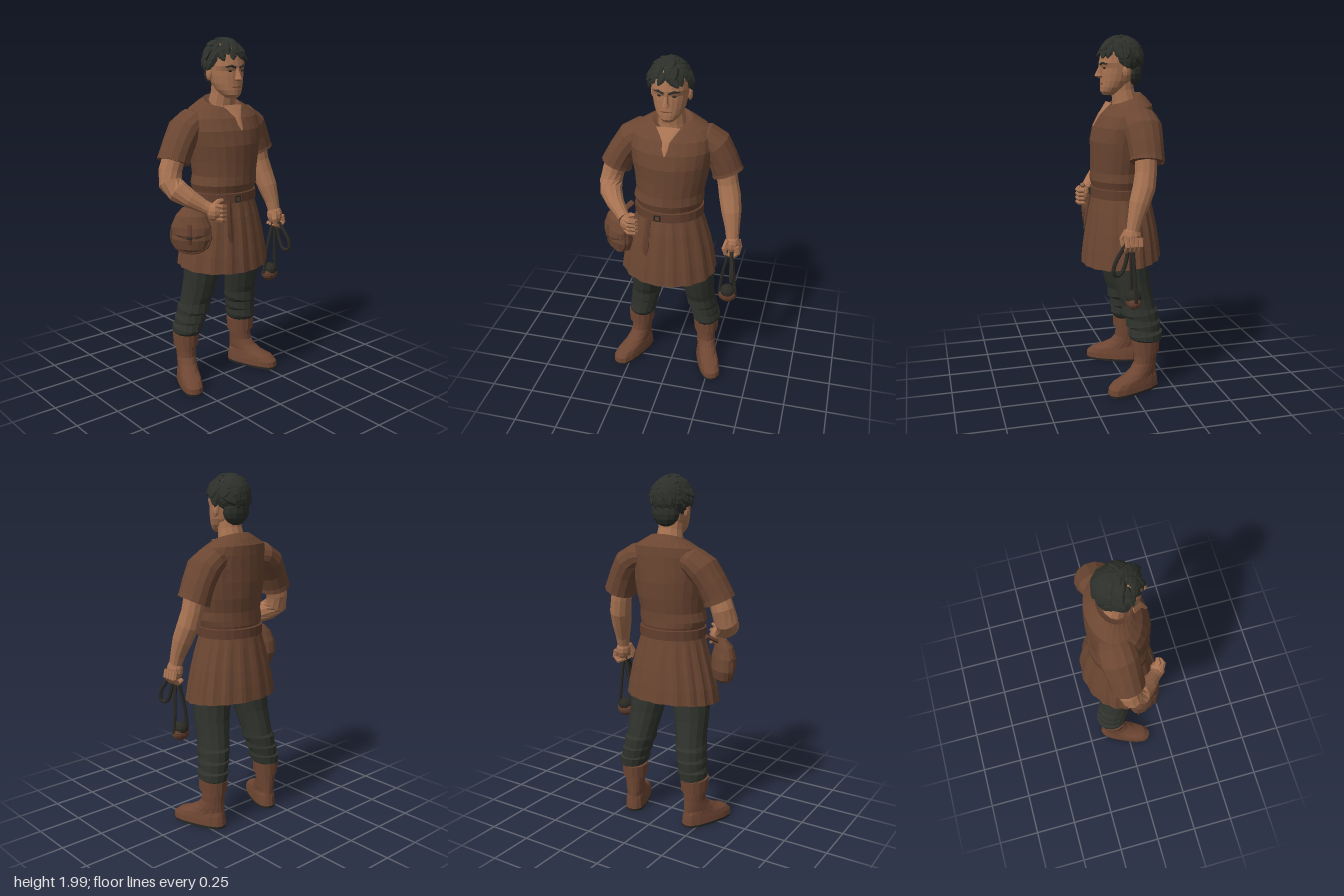
import * as THREE from 'three';
import { mergeGeometries } from 'three/addons/utils/BufferGeometryUtils.js';

const mat = (name, color) => Object.assign(new THREE.MeshStandardMaterial({ color }), { name });
const V = (x, y, z) => new THREE.Vector3(x, y, z);

// Gives every face its own normal
function faceted(g) {
  const f = g.index ? g.toNonIndexed() : g;
  f.computeVertexNormals();
  return f;
}

// Skin over rings [x, y, z, ru, rv, tilt]. Rings lie flat, or square to the path when follow is set.
// shape(angle, ring) scales the radius, for pleats and boxy outlines.
function loft(rings, { n = 14, follow = false, shape = () => 1 } = {}) {
  const pos = [], idx = [], m = rings.length;
  const at = i => V(...rings[Math.max(0, Math.min(m - 1, i))].slice(0, 3));
  rings.forEach(([x, y, z, ru, rv = ru, tilt = 0], i) => {
    const t = follow ? at(i + 1).sub(at(i - 1)).normalize() : V(0, 1, 0);
    const u = V(1, 0, 0).addScaledVector(t, -t.x).normalize();
    const v = u.clone().cross(t);
    for (let j = 0; j < n; j++) {
      const a = j / n * Math.PI * 2, k = shape(a, i);
      const p = V(x, y + tilt * Math.cos(a), z)
        .addScaledVector(u, Math.cos(a) * ru * k).addScaledVector(v, Math.sin(a) * rv * k);
      pos.push(p.x, p.y, p.z);
    }
  });
  pos.push(...at(0).toArray(), ...at(m - 1).toArray());
  for (let j = 0; j < n; j++) {
    const k = (j + 1) % n, e = (m - 1) * n;
    for (let i = 0; i < m - 1; i++) {
      const a = i * n + j, b = i * n + k;
      idx.push(a, a + n, b, b, a + n, b + n);
    }
    idx.push(m * n, j, k, m * n + 1, e + k, e + j);
  }
  const g = new THREE.BufferGeometry();
  g.setAttribute('position', new THREE.Float32BufferAttribute(pos, 3));
  g.setIndex(idx);
  return faceted(g);
}
const limb = (rings, n = 9) => loft(rings, { n, follow: true });
const boxy = a => 1 / Math.pow(Math.cos(a) ** 4 + Math.sin(a) ** 4, 0.16);
const ball = (x, y, z, rx, ry, rz, n = 12) =>
  faceted(new THREE.SphereGeometry(1, n, Math.ceil(n * 0.7)).scale(rx, ry, rz).translate(x, y, z));
const cord = (points, r, closed = false) =>
  faceted(new THREE.TubeGeometry(new THREE.CatmullRomCurve3(points.map(p => V(...p)), closed), 20, r, 6, closed));

export function createModel() {
  const root = new THREE.Group();
  const M = {
    tunic: mat('tunic brown', 0x6b4632), skin: mat('skin', 0xa87352), hair: mat('black hair', 0x2d302a),
    trousers: mat('dark trousers', 0x30332d), boots: mat('boot leather', 0x6e4633),
    belt: mat('belt leather', 0x613e2d), dark: mat('dark cord and sole', 0x2a2924), lips: mat('lips', 0x7d4b38),
  };
  const add = (name, material, geometry, parent = root) => {
    const mesh = new THREE.Mesh(geometry, material);
    mesh.name = name;
    parent.add(mesh);
    return mesh;
  };

  // Tunic body, bloused over the belt
  add('tunicBody', M.tunic, loft([
    [0.005, 1.13, 0.01, 0.15, 0.178], [0.005, 1.17, 0.01, 0.162, 0.19], [0.01, 1.2, 0.01, 0.166, 0.2],
    [0.008, 1.25, 0.005, 0.164, 0.192], [0.002, 1.33, 0, 0.17, 0.205], [0, 1.42, 0, 0.174, 0.22],
    [-0.008, 1.5, 0, 0.165, 0.232], [-0.025, 1.565, 0, 0.147, 0.225], [-0.042, 1.608, 0, 0.127, 0.195, -0.01],
    [-0.034, 1.635, 0, 0.106, 0.145, -0.02], [-0.022, 1.65, 0, 0.088, 0.11, -0.032], [-0.02, 1.638, 0, 0.07, 0.085, -0.032],
  ], { n: 24 }));

  // Pleated skirt, hem lower at the front
  add('tunicSkirt', M.tunic, loft([
    [0, 0.745, 0.012, 0.19, 0.24, -0.02], [0, 0.73, 0.012, 0.224, 0.278, -0.02], [0, 0.82, 0.012, 0.214, 0.263, -0.015],
    [0, 0.92, 0.01, 0.199, 0.24, -0.01], [0, 1.02, 0.01, 0.181, 0.212], [0, 1.1, 0.01, 0.163, 0.188], [0, 1.14, 0.01, 0.15, 0.178],
  ], { n: 68, shape: (a, i) => 1 + [0.018, 0.02, 0.022, 0.022, 0.02, 0.012, 0][i] * Math.sin(17 * a + Math.sin(3 * a)) }));

  // Belt, buckle and hanging end
  add('belt', M.belt, loft([[0.003, 1.1, 0.01, 0.155, 0.18], [0.003, 1.103, 0.01, 0.171, 0.198],
    [0.003, 1.155, 0.01, 0.17, 0.197], [0.003, 1.16, 0.01, 0.155, 0.18]], { n: 24 }));
  add('buckle', M.dark, faceted(new THREE.TorusGeometry(0.022, 0.006, 5, 4, Math.PI * 2).rotateZ(Math.PI / 4)
    .rotateY(Math.PI / 2).translate(0.172, 1.125, 0.04)));
  add('beltEnd', M.belt, limb([[0.155, 1.12, 0.09, 0.007, 0.018], [0.172, 1.03, 0.1, 0.007, 0.018],
    [0.187, 0.94, 0.105, 0.007, 0.022], [0.192, 0.89, 0.105, 0.006, 0.01]], 6));

  // Open neckline running into a slit, laid along the chest
  add('necklineSlit', M.skin, limb([[0.16, 1.5, 0, 0.003, 0.005], [0.145, 1.53, 0.002, 0.003, 0.016], [0.125, 1.566, 0, 0.003, 0.02],
    [0.092, 1.606, 0, 0.004, 0.048], [0.072, 1.63, 0, 0.004, 0.068]], 8));

  // Neck and head
  add('neck', M.skin, limb([[-0.03, 1.56, 0, 0.08, 0.09], [-0.02, 1.64, 0, 0.07, 0.078], [-0.008, 1.7, 0, 0.064, 0.07], [0, 1.77, 0, 0.065, 0.07]], 12));
  add('head', M.skin, loft([
    [0.07, 1.672, 0, 0.035, 0.032], [0.057, 1.69, 0, 0.06, 0.054], [0.04, 1.715, 0, 0.078, 0.072],
    [0.026, 1.75, 0, 0.09, 0.086], [0.019, 1.79, 0, 0.096, 0.094], [0.013, 1.818, 0, 0.1, 0.098],
    [0.018, 1.845, 0, 0.106, 0.1], [0.005, 1.9, 0, 0.108, 0.1], [0, 1.96, 0, 0.07, 0.07],
  ], { n: 20 }));
  add('nose', M.skin, loft([[0.114, 1.764, 0, 0.016, 0.014], [0.122, 1.774, 0, 0.029, 0.02],
    [0.12, 1.79, 0, 0.024, 0.014], [0.113, 1.82, 0, 0.015, 0.01], [0.11, 1.845, 0, 0.014, 0.012]], { n: 8 }));
  add('mouth', M.lips, ball(0.112, 1.733, 0, 0.007, 0.005, 0.032, 8));
  for (const s of [1, -1]) {
    add('eye', M.dark, ball(0.103, 1.818, s * 0.038, 0.007, 0.006, 0.015, 8));
    add('eyebrow', M.hair, limb([[0.121, 1.836, s * 0.014, 0.006], [0.115, 1.846, s * 0.04, 0.007], [0.094, 1.84, s * 0.066, 0.004]], 5));
    add('ear', M.skin, ball(-0.005, 1.8, s * 0.1, 0.022, 0.036, 0.014, 8));
  }

  // Hair: a cap under rows of tousled, pointed locks
  add('hairCap', M.hair, ball(-0.022, 1.875, 0.003, 0.105, 0.112, 0.108, 16));
  add('hairNape', M.hair, ball(-0.058, 1.8, 0, 0.058, 0.085, 0.084));
  let seed = 7;
  const rnd = () => (seed = (seed * 16807) % 2147483647) / 2147483647 - 0.5;
  const locks = [];
  [85, 62, 40, 20, 0, -20, -38].forEach((deg, row) => {
    const count = Math.max(4, Math.round(14 * Math.cos(deg * Math.PI / 180)));
    for (let j = 0; j < count; j++) {
      const a = (j + row * 0.5 + rnd() * 0.6) / count * Math.PI * 2, front = Math.cos(a);
      if (deg < (front > 0.45 ? 20 : front > -0.1 ? 0 : -60)) continue;
      const e = deg * Math.PI / 180, ce = Math.cos(e), se = Math.sin(e), size = 1 + rnd() * 0.4;
      const out = V(ce * front, se, ce * Math.sin(a));
      const down = V(se * front, -ce, se * Math.sin(a)).applyAxisAngle(out, 0.3 + rnd() * 1.3);
      // lock tips lift away from the head
      const lift = down.clone().cross(out), tip = deg < 0 ? 0 : 0.2 + rnd() * 0.4;
      const normal = out.clone().applyAxisAngle(lift, tip);
      down.applyAxisAngle(lift, tip);
      const g = new THREE.SphereGeometry(1, 6, 5), p = g.attributes.position;
      for (let i = 0; i < p.count; i++) {
        const taper = size * (1 - 0.5 * Math.max(0, p.getY(i)));
        p.setXYZ(i, p.getX(i) * taper * 0.03, p.getY(i) * size * 0.05, p.getZ(i) * taper * 0.02);
      }
      const basis = new THREE.Matrix4().makeBasis(lift, down, normal);
      basis.setPosition(out.x * 0.115 + 0.002, 1.87 + out.y * 0.106, out.z * 0.1 + 0.004);
      locks.push(faceted(g.applyMatrix4(basis)));
    }
  });
  add('hairLocks', M.hair, mergeGeometries(locks));

  // Sleeves, legs and boots on both sides; the right arm is held further out and forward
  for (const s of [1, -1]) {
    const right = s > 0, side = right ? 'right' : 'left', out = right ? 0.02 : 0, fwd = right ? 0.025 : -0.005;
    add(side + 'Sleeve', M.tunic, limb([
      [-0.055, 1.555, s * 0.1, 0.07, 0.055], [-0.058, 1.54, s * 0.18, 0.1, 0.078], [-0.06 + fwd * 0.3, 1.5, s * 0.235, 0.105, 0.088],
      [-0.06 + fwd * 0.7, 1.43, s * (0.272 + out / 2), 0.098, 0.084], [-0.06 + fwd, 1.36, s * (0.298 + out), 0.094, 0.086],
      [-0.058 + fwd, 1.335, s * (0.307 + out), 0.096, 0.09], [-0.058 + fwd, 1.345, s * (0.304 + out), 0.08, 0.07],
    ], 14));
    add(side + 'TrouserLeg', M.trousers, loft([
      [-0.09, 0.285, s * 0.206, 0.07, 0.06], [-0.09, 0.305, s * 0.206, 0.094, 0.08, 0.01], [-0.09, 0.335, s * 0.202, 0.1, 0.085, -0.01],
      [-0.085, 0.36, s * 0.196, 0.092, 0.079, 0.012], [-0.08, 0.39, s * 0.19, 0.1, 0.086, -0.012], [-0.075, 0.42, s * 0.184, 0.096, 0.082, 0.01],
      [-0.065, 0.455, s * 0.176, 0.103, 0.09, -0.012], [-0.058, 0.49, s * 0.17, 0.098, 0.087, 0.012], [-0.045, 0.54, s * 0.163, 0.1, 0.09],
      [-0.025, 0.63, s * 0.153, 0.103, 0.1], [-0.012, 0.72, s * 0.142, 0.108, 0.113], [-0.005, 0.82, s * 0.13, 0.115, 0.118],
    ]));
    const boot = new THREE.Group();
    boot.name = side + 'Boot';
    boot.position.set(-0.092, 0, s * (right ? 0.215 : 0.202));
    boot.rotation.y = right ? -0.42 : 0.37;
    root.add(boot);
    add('sole', M.dark, loft([[0.088, 0, 0, 0.163, 0.063], [0.088, 0.014, 0, 0.166, 0.065]], { n: 18, shape: boxy }), boot);
    add('foot', M.boots, loft([
      [0.088, 0.012, 0, 0.165, 0.064], [0.088, 0.045, 0, 0.162, 0.062], [0.074, 0.072, 0, 0.144, 0.058], [0.044, 0.095, 0, 0.112, 0.056],
      [0.017, 0.125, 0, 0.084, 0.056], [0.003, 0.16, 0, 0.069, 0.056], [0, 0.2, 0, 0.067, 0.06], [0, 0.24, 0, 0.068, 0.062],
    ], { n: 18, shape: (a, i) => i < 3 ? boxy(a) : 1 }), boot);
    add('cuff', M.boots, loft([[0, 0.225, 0, 0.066, 0.06], [0.001, 0.222, 0, 0.082, 0.073, 0.006],
      [0, 0.295, 0, 0.085, 0.077, 0.006], [0, 0.295, 0, 0.07, 0.06]], { n: 14 }), boot);
  }

  // Right arm bent, fist resting at the belt
  add('rightForearm', M.skin, limb([
    [-0.035, 1.38, 0.315, 0.062], [-0.034, 1.29, 0.348, 0.064], [-0.018, 1.225, 0.36, 0.066], [0.033, 1.185, 0.345, 0.063],
    [0.09, 1.145, 0.302, 0.05], [0.14, 1.108, 0.252, 0.037], [0.16, 1.095, 0.232, 0.036],
  ], 12));
  add('rightHand', M.skin, ball(0.178, 1.078, 0.205, 0.042, 0.052, 0.047, 10));
  for (let i = 0; i < 4; i++) {
    const y = 1.115 - i * 0.024;
    add('rightFinger', M.skin, limb([[0.195, y, 0.215, 0.015], [0.214, y - 0.006, 0.19, 0.015], [0.205, y - 0.012, 0.163, 0.014], [0.18, y - 0.012, 0.155, 0.01]], 6));
  }
  add('rightThumb', M.skin, limb([[0.17, 1.11, 0.21, 0.016], [0.185, 1.135, 0.185, 0.015], [0.19, 1.14, 0.16, 0.009]], 6));

  // Left arm hanging, fist around the sling
  add('leftForearm', M.skin, limb([
    [-0.06, 1.38, -0.29, 0.062], [-0.055, 1.28, -0.31, 0.06], [-0.04, 1.2, -0.327, 0.063], [-0.01, 1.12, -0.343, 0.057],
    [0.018, 1.03, -0.357, 0.042], [0.03, 0.98, -0.362, 0.037],
  ], 12));
  add('leftHand', M.skin, ball(0.035, 0.945, -0.365, 0.05, 0.06, 0.043, 10));
  for (let i = 0; i < 4; i++) {
    const x = 0.07 - i * 0.024;
    add('leftFinger', M.skin, limb([[x, 0.945, -0.392, 0.016], [x, 0.905, -0.402, 0.016], [x, 0.876, -0.375, 0.015], [x, 0.892, -0.345, 0.012]], 6));
  }
  add('leftThumb', M.skin, limb([[0.06, 0.975, -0.34, 0.017], [0.08, 0.93, -0.325, 0.016], [0.08, 0.89, -0.335, 0.01]], 6));

  // Sling: two cords, a pouch with its stone, and a spare loop
  for (const s of [1, -1]) {
    add('slingCord', M.dark, cord([[0.035, 0.92, -0.36], [0.03, 0.82, -0.352 + s * 0.02], [0.024, 0.7, -0.345 + s * 0.036], [0.02, 0.58, -0.345 + s * 0.048]], 0.01));
  }
  add('slingPouch', M.belt, ball(0.02, 0.575, -0.345, 0.042, 0.043, 0.054));
  add('slingStone', M.dark, ball(0.02, 0.602, -0.345, 0.046, 0.04, 0.044, 10));
  add('slingLoop', M.dark, cord([[0.06, 0.91, -0.365], [0.105, 0.86, -0.375], [0.143, 0.79, -0.388], [0.14, 0.745, -0.385],
    [0.105, 0.745, -0.375], [0.075, 0.8, -0.37]], 0.011, true));

  // Belt bag, turned outward
  const bag = new THREE.Group();
  bag.name = 'beltBag';
  bag.position.set(0.08, 0.965, 0.293);
  bag.rotation.y = Math.PI / 4;
  root.add(bag);
  add('bagBody', M.tunic, loft([[0, -0.118, 0, 0.05, 0.03], [0, -0.095, 0, 0.095, 0.055], [0, -0.04, 0, 0.116, 0.066],
    [0, 0.03, 0, 0.108, 0.058], [0, 0.085, 0, 0.08, 0.045], [0, 0.125, -0.01, 0.05, 0.025]], { n: 16 }), bag);
  add('bagFlap', M.tunic, loft([[0, -0.03, 0.012, 0.07, 0.058], [0, -0.01, 0.01, 0.106, 0.064], [0, 0.03, 0.008, 0.111, 0.062],
    [0, 0.09, 0.004, 0.085, 0.049], [0, 0.13, -0.008, 0.05, 0.025]], { n: 16 }), bag);
  add('bagSeam', M.belt, cord([[-0.1, 0.04, 0.02], [-0.108, -0.04, 0.02], [-0.07, -0.1, 0.025], [0, -0.118, 0.028],
    [0.07, -0.1, 0.025], [0.108, -0.04, 0.02], [0.1, 0.04, 0.02]], 0.008), bag);
  add('bagStrap', M.belt, limb([[0, 0.05, 0.066, 0.014, 0.005], [0, -0.01, 0.076, 0.014, 0.005], [0, -0.06, 0.068, 0.01, 0.005]], 6), bag);
  add('bagToggle', M.dark, ball(0, -0.02, 0.08, 0.018, 0.007, 0.006, 6), bag);
  add('bagHanger', M.belt, limb([[0, 0.1, 0, 0.022, 0.012], [-0.01, 0.15, -0.1, 0.022, 0.012]], 6), bag);

  return root;
}
